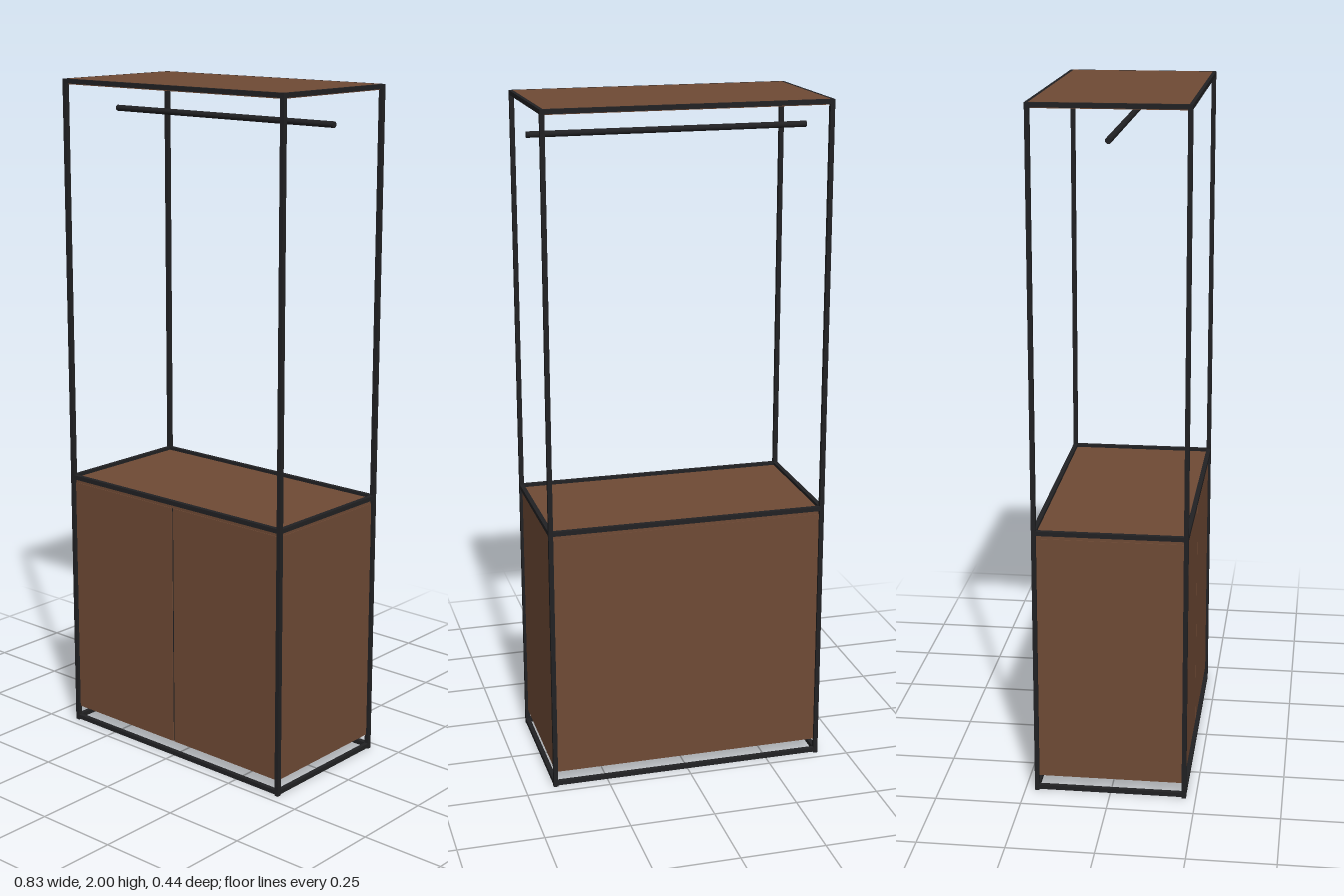
import * as THREE from 'three';

export function createModel() {
  const model = new THREE.Group();
  model.name = 'wardrobe';

  const wood = new THREE.MeshStandardMaterial({ color: 0x6f4a35 });
  wood.name = 'brown wood';
  const metal = new THREE.MeshStandardMaterial({ color: 0x212123 });
  metal.name = 'black metal';

  const X = 0.415, Z = 0.222, T = 0.013; // outer half width, half depth, bar thickness

  // Box given by its lower and upper corners
  function box(name, material, x0, y0, z0, x1, y1, z1, parent = model) {
    const mesh = new THREE.Mesh(new THREE.BoxGeometry(x1 - x0, y1 - y0, z1 - z0), material);
    mesh.position.set((x0 + x1) / 2, (y0 + y1) / 2, (z0 + z1) / 2);
    mesh.name = name;
    parent.add(mesh);
  }

  // Metal frame: four posts and three rectangular rings of rails
  const frame = new THREE.Group();
  frame.name = 'frame';
  model.add(frame);
  for (const sx of [-1, 1]) {
    for (const sz of [-1, 1]) {
      const x = sx * (X - T / 2), z = sz * (Z - T / 2);
      box('post', metal, x - T / 2, 0, z - T / 2, x + T / 2, 2, z + T / 2, frame);
    }
  }
  for (const y of [0.004, 0.794, 2 - T]) {
    for (const s of [-1, 1]) {
      const z = s * (Z - T / 2), x = s * (X - T / 2);
      box('longRail', metal, -X + T, y, z - T / 2, X - T, y + T, z + T / 2, frame);
      box('sideRail', metal, x - T / 2, y, -Z + T, x + T / 2, y + T, Z - T, frame);
    }
  }

  // Clothes rail
  const rail = new THREE.Mesh(new THREE.CylinderGeometry(0.009, 0.009, 2 * X - 0.01, 16), metal);
  rail.rotation.z = Math.PI / 2;
  rail.position.y = 1.903;
  rail.name = 'clothesRail';
  model.add(rail);

  // Boards set into the upper rings
  const bx = X - 0.01, bz = Z - 0.01;
  box('topBoard', wood, -bx, 1.984, -bz, bx, 2.0004, bz);
  box('counterBoard', wood, -bx, 0.782, -bz, bx, 0.798, bz);

  // Cabinet: sides, back, floor and two doors
  const cx = X - 0.008, cz = Z - 0.008, W = 0.015, low = 0.045, high = 0.782;
  box('cabinetFloor', wood, -cx + W, low, -cz + W, cx - W, low + W, cz - W);
  box('cabinetBack', wood, -cx + W, low, -cz, cx - W, high, -cz + W);
  for (const s of [-1, 1]) {
    const x = s * (cx - W / 2), d = s * (cx - W + 0.003) / 2;
    box('cabinetSide', wood, x - W / 2, low, -cz, x + W / 2, high, cz);
    const half = (cx - W - 0.003) / 2;
    box('door', wood, d - half, low, cz - W, d + half, high, cz);
  }
  // Shadow gap between the doors
  box('doorGap', metal, -0.003, low, cz - 0.008, 0.003, high, cz - 0.003);

  return model;
}
